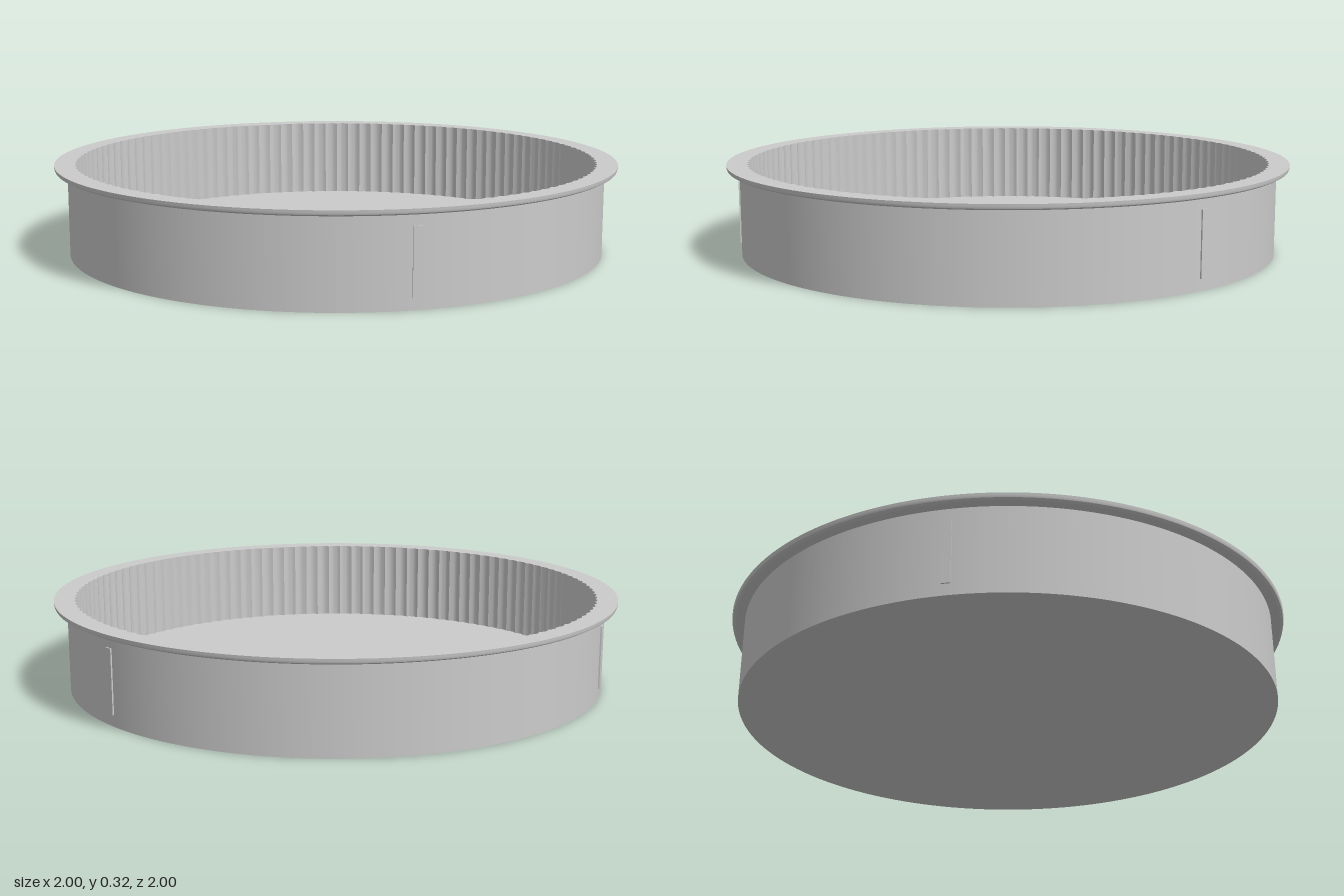
import * as THREE from 'three';
import { toCreasedNormals } from 'three/addons/utils/BufferGeometryUtils.js';

const FLUTES = 120;
const WALL_R = 0.955;
const INNER_R = 0.925;

// Round dish turned from one profile; the inner wall is then scalloped.
function dishGeometry() {
  const profile = [
    [0, 0], [WALL_R, 0], [WALL_R, 0.3],                 // underside and outer wall
    [0.988, 0.3], [0.997, 0.305], [1, 0.313], [1, 0.32], // overhanging rim
    [INNER_R, 0.32], [INNER_R, 0.025], [0, 0.025],       // inner wall and floor
  ].map(([r, y]) => new THREE.Vector2(r, y));
  const geo = new THREE.LatheGeometry(profile, FLUTES * 6);
  const pos = geo.attributes.position;
  for (let i = 0; i < pos.count; i++) {
    const x = pos.getX(i), z = pos.getZ(i);
    const r = Math.hypot(x, z);
    if (Math.abs(r - INNER_R) > 0.01) continue;
    const wave = Math.abs(Math.sin(Math.atan2(z, x) * FLUTES / 2));
    const k = (INNER_R - 0.004 + 0.008 * wave) / r;
    pos.setX(i, x * k);
    pos.setZ(i, z * k);
  }
  return toCreasedNormals(geo, 0.5);
}

export function createModel() {
  const group = new THREE.Group();
  const material = new THREE.MeshStandardMaterial({ color: 0xcccccc });

  const dish = new THREE.Mesh(dishGeometry(), material);
  dish.name = 'dish';
  group.add(dish);

  // Three shallow grip ribs spaced evenly around the outer wall
  const ribGeo = new THREE.BoxGeometry(0.02, 0.22, 0.03);
  for (let i = 0; i < 3; i++) {
    const a = i * Math.PI * 2 / 3;
    const rib = new THREE.Mesh(ribGeo, material);
    rib.name = 'gripRib';
    rib.position.set(Math.cos(a) * (WALL_R - 0.005), 0.15, Math.sin(a) * (WALL_R - 0.005));
    rib.rotation.y = -a;
    group.add(rib);
  }
  return group;
}
